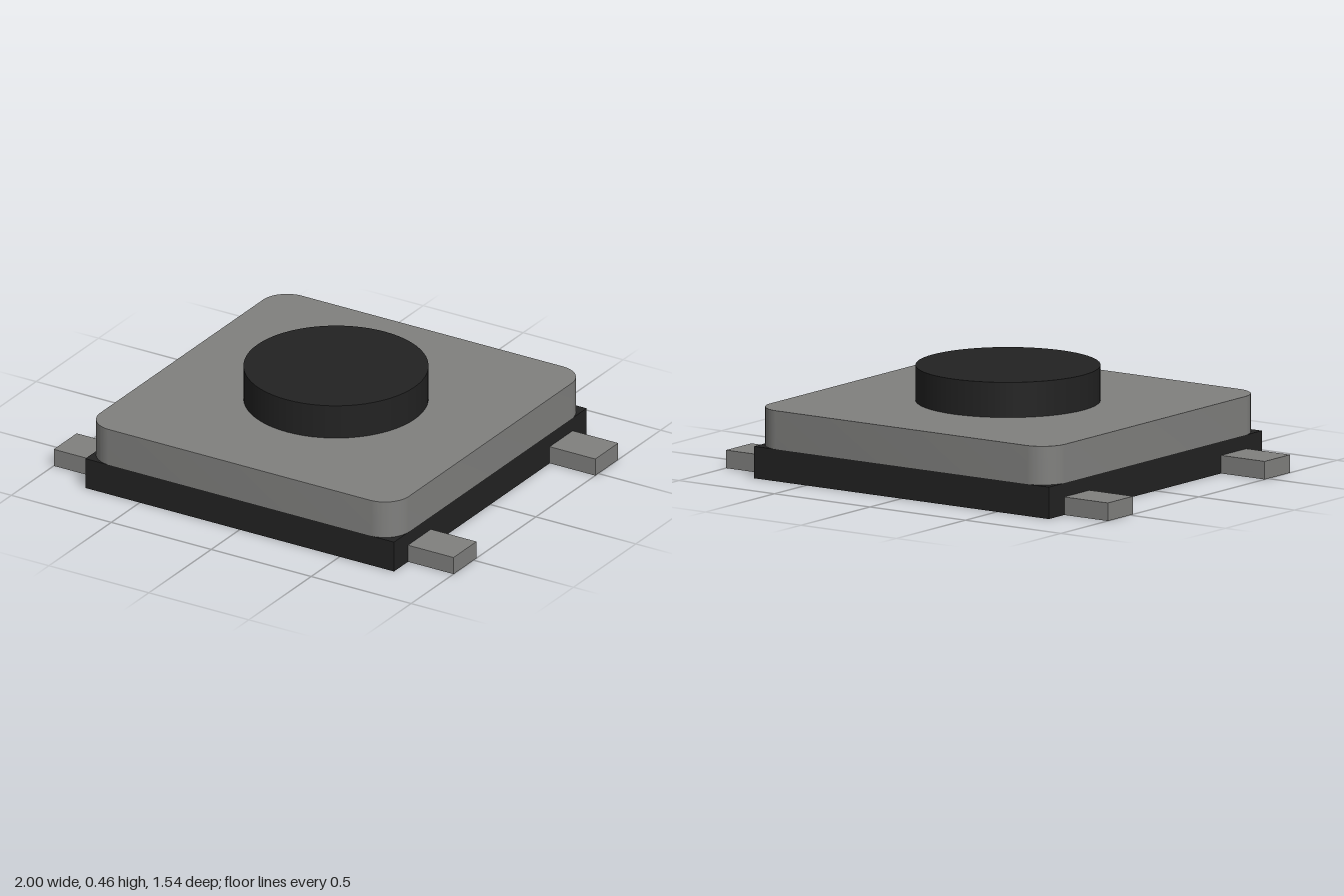
import * as THREE from 'three';
import { toCreasedNormals } from 'three/addons/utils/BufferGeometryUtils.js';

const HALF = 0.772;       // half width of the square body
const BASE_TOP = 0.138;
const COVER_TOP = 0.305;
const BUTTON_TOP = 0.457;

// Square outline with rounded corners
function roundedSquare(h, r) {
  const s = new THREE.Shape();
  s.moveTo(h, -h + r);
  s.absarc(h - r, h - r, r, 0, Math.PI / 2);
  s.absarc(-h + r, h - r, r, Math.PI / 2, Math.PI);
  s.absarc(-h + r, -h + r, r, Math.PI, Math.PI * 1.5);
  s.absarc(h - r, -h + r, r, Math.PI * 1.5, Math.PI * 2);
  return s;
}

export function createModel() {
  const plastic = new THREE.MeshStandardMaterial({ color: 0x222222 });
  plastic.name = 'black plastic';
  const metal = new THREE.MeshStandardMaterial({ color: 0x80807e });
  metal.name = 'grey metal';

  const model = new THREE.Group();
  model.name = 'pushButtonSwitch';
  const add = (name, geometry, material, x, y, z) => {
    const mesh = new THREE.Mesh(geometry, material);
    mesh.name = name;
    mesh.position.set(x, y, z);
    model.add(mesh);
  };

  // Square-cornered base
  add('base', new THREE.BoxGeometry(HALF * 2, BASE_TOP, HALF * 2), plastic, 0, BASE_TOP / 2, 0);

  // Metal cover with rounded corners
  const cover = new THREE.ExtrudeGeometry(roundedSquare(HALF, 0.12), {
    depth: COVER_TOP - BASE_TOP, bevelEnabled: false, curveSegments: 12,
  });
  cover.rotateX(-Math.PI / 2);
  add('cover', toCreasedNormals(cover, 0.6), metal, 0, BASE_TOP, 0);

  // Round push button
  const buttonHeight = BUTTON_TOP - COVER_TOP;
  add('button', new THREE.CylinderGeometry(0.393, 0.393, buttonHeight, 64), plastic,
    0, COVER_TOP + buttonHeight / 2, 0);

  // Four flat terminals, two on each side
  const legLength = 1 - HALF;
  const legHeight = 0.078;
  for (const sx of [1, -1]) {
    for (const sz of [1, -1]) {
      const name = (sz > 0 ? 'front' : 'back') + (sx > 0 ? 'Left' : 'Right') + 'Terminal';
      add(name, new THREE.BoxGeometry(legLength, legHeight, 0.184), metal,
        sx * (HALF + legLength / 2), legHeight / 2, sz * 0.568);
    }
  }
  return model;
}
